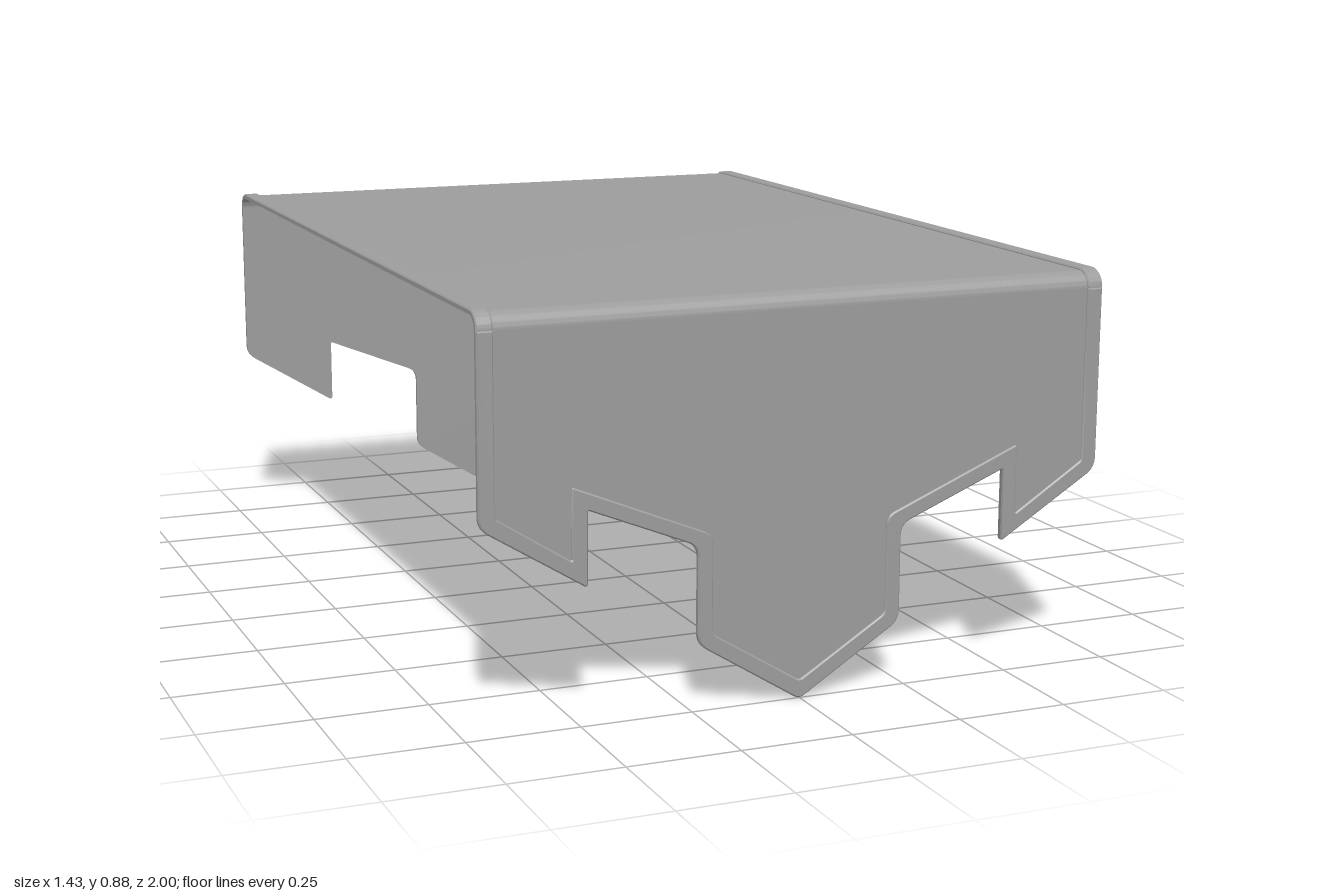
import * as THREE from 'three';
import { toCreasedNormals } from 'three/addons/utils/BufferGeometryUtils.js';

const TOP = 0.885, BEND = 0.04, FOLD_Y = TOP - BEND;
const INNER = 0.988, SHEET = 0.995; // cloth thickness in z
const HEM_BASE = 0.991, HEM = 1.0;  // hem band, sunk into the cloth
const HALF_W = 0.717, HEM_W = 0.036, BEVEL = 0.003;

// half outlines of a flap from the fold to the centre point: x, y, corner radius
const OUTER = [[HALF_W, FOLD_Y, 0], [HALF_W, 0.442, 0.025], [0.482, 0.296, 0.012],
  [0.482, 0.46, 0.004], [0.237, 0.36, 0.025], [0.237, 0.146, 0.025], [0, -0.003, 0.015]];
const INSET = [[HALF_W - HEM_W, FOLD_Y, 0], [HALF_W - HEM_W, 0.462, 0.008], [0.517, 0.357, 0.005],
  [0.517, 0.512, 0.006], [0.203, 0.382, 0.02], [0.203, 0.166, 0.012], [0, 0.04, 0.008]];

const mirrored = (half) => [...half, ...half.slice(0, -1).reverse().map(([x, y, r]) => [-x, y, r])];

// closed shape with each corner rounded by its own radius
function roundedShape(points) {
  const shape = new THREE.Shape();
  const n = points.length;
  points.forEach(([x, y, r], i) => {
    const p = new THREE.Vector2(x, y);
    const towards = (q) => new THREE.Vector2(q[0], q[1]).sub(p).setLength(r).add(p);
    const a = r ? towards(points[(i + n - 1) % n]) : p;
    if (i === 0) shape.moveTo(a.x, a.y); else shape.lineTo(a.x, a.y);
    if (r) {
      const b = towards(points[(i + 1) % n]);
      shape.quadraticCurveTo(x, y, b.x, b.y);
    }
  });
  return shape;
}

// folded cross-section (z, y): flat top with a rounded bend down to each flap
function foldShape(inner, outer) {
  const c = HEM - BEND, rIn = inner - c, rOut = outer - c;
  const shape = new THREE.Shape();
  shape.absarc(c, FOLD_Y, rOut, 0, Math.PI / 2, false);
  shape.absarc(-c, FOLD_Y, rOut, Math.PI / 2, Math.PI, false);
  shape.absarc(-c, FOLD_Y, rIn, Math.PI, Math.PI / 2, true);
  shape.absarc(c, FOLD_Y, rIn, Math.PI / 2, 0, true);
  return shape;
}

// extrusion between two depths, with chamfered edges where bevel > 0
function slab(shape, from, to, bevel) {
  const geometry = new THREE.ExtrudeGeometry(shape, {
    depth: to - from - 2 * bevel, curveSegments: 8, bevelEnabled: bevel > 0,
    bevelThickness: bevel, bevelSize: bevel, bevelOffset: -bevel, bevelSegments: 1,
  });
  return toCreasedNormals(geometry.translate(0, 0, from + bevel), 0.6);
}

export function createModel() {
  const group = new THREE.Group();
  const material = new THREE.MeshStandardMaterial({ color: 0x9c9c9c, side: THREE.DoubleSide });
  const add = (name, geometry) => {
    const mesh = new THREE.Mesh(geometry, material);
    mesh.name = name;
    group.add(mesh);
  };

  // top cloth and its two raised side hems, extruded along x
  const alongX = (name, shape, x0, x1, bevel) =>
    add(name, slab(shape, x0, x1, bevel).rotateY(Math.PI / 2));
  const hemFold = foldShape(HEM_BASE, HEM);
  alongX('topCloth', foldShape(INNER, SHEET), -HALF_W, HALF_W, 0);
  alongX('leftTopHem', hemFold, HALF_W - HEM_W, HALF_W, BEVEL);
  alongX('rightTopHem', hemFold, -HALF_W, HEM_W - HALF_W, BEVEL);

  // hanging flaps with a hem band following the cut edge
  const cloth = roundedShape(mirrored(OUTER));
  const hem = roundedShape([...mirrored(OUTER), ...mirrored(INSET).reverse()]);
  for (const [side, turn] of [['front', 0], ['back', Math.PI]]) {
    add(side + 'Flap', slab(cloth, INNER, SHEET, 0).rotateY(turn));
    add(side + 'FlapHem', slab(hem, HEM_BASE, HEM, BEVEL).rotateY(turn));
  }
  return group;
}
